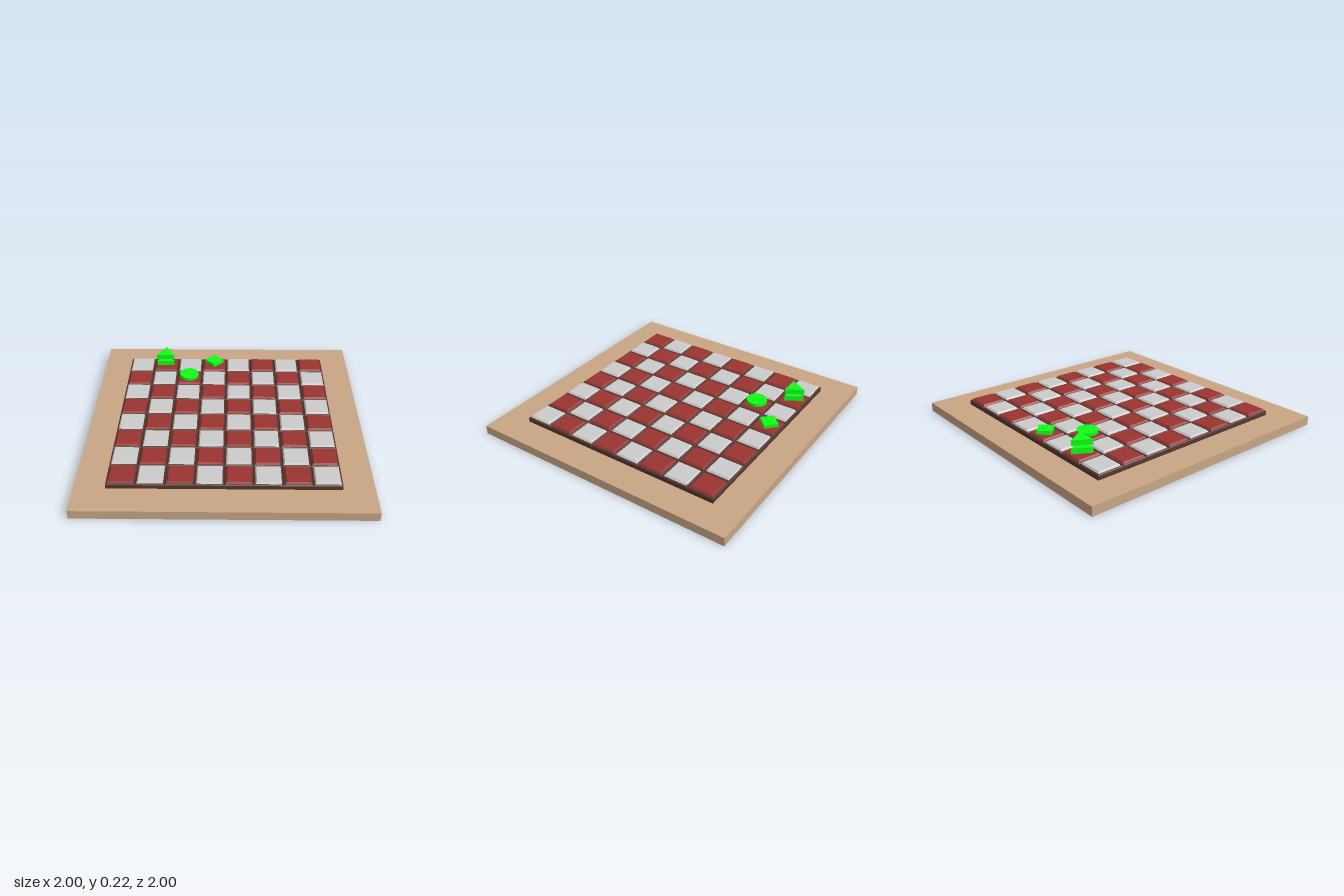
import * as THREE from 'three';

const paint = (color) => new THREE.MeshStandardMaterial({ color, flatShading: true });

// Square block from y0 to y1 whose top may be narrower than its base
function frustum(bottom, top, y0, y1) {
  const g = new THREE.CylinderGeometry(top / Math.SQRT2, bottom / Math.SQRT2, y1 - y0, 4);
  return g.rotateY(Math.PI / 4).translate(0, (y0 + y1) / 2, 0);
}

export function createModel() {
  const model = new THREE.Group();
  const wood = paint(0xc8a684), frame = paint(0x55372f);
  const red = paint(0x9a3430), grey = paint(0xcccccc), green = paint(0x0fff17);

  const add = (parent, name, geometry, material, x = 0, y = 0, z = 0) => {
    const mesh = new THREE.Mesh(geometry, material);
    mesh.name = name;
    mesh.position.set(x, y, z);
    parent.add(mesh);
    return mesh;
  };

  // Table slab
  add(model, 'tableTop', new THREE.BoxGeometry(2, 0.065, 2), wood, 0, 0.0325, 0);

  // Board: 8 x 8 bevelled cells on a dark base
  const cell = 0.196;
  const board = new THREE.Group();
  board.name = 'board';
  model.add(board);
  add(board, 'boardBase', new THREE.BoxGeometry(cell * 8, 0.03, cell * 8), frame, 0, 0.08, 0);
  const rim = frustum(cell, 0.183, 0.095, 0.102);
  const tile = frustum(0.174, 0.156, 0.102, 0.114);
  for (let row = 0; row < 8; row++) {
    for (let col = 0; col < 8; col++) {
      const x = (col - 3.5) * cell, z = (row - 3.5) * cell;
      add(board, 'cellRim', rim, frame, x, 0, z);
      add(board, 'tile', tile, (row + col) % 2 ? red : grey, x, 0, z);
    }
  }

  // Playing pieces: short prisms
  const piece = (name, sides, radius, y0, y1, x, z, turn = 0) => {
    const g = new THREE.CylinderGeometry(radius, radius, y1 - y0, sides).rotateY(turn);
    const material = sides > 8 ? new THREE.MeshStandardMaterial({ color: 0x0fff17 }) : green;
    add(model, name, g, material, x, (y0 + y1) / 2, z);
  };
  piece('lowerTrianglePiece', 3, 0.082, 0.126, 0.165, -0.493, -0.69, Math.PI);
  piece('upperTrianglePiece', 3, 0.082, 0.184, 0.222, -0.493, -0.69, Math.PI);
  piece('diamondPiece', 4, 0.074, 0.122, 0.15, -0.098, -0.697);
  piece('roundPiece', 32, 0.074, 0.126, 0.15, -0.293, -0.49);

  return model;
}
